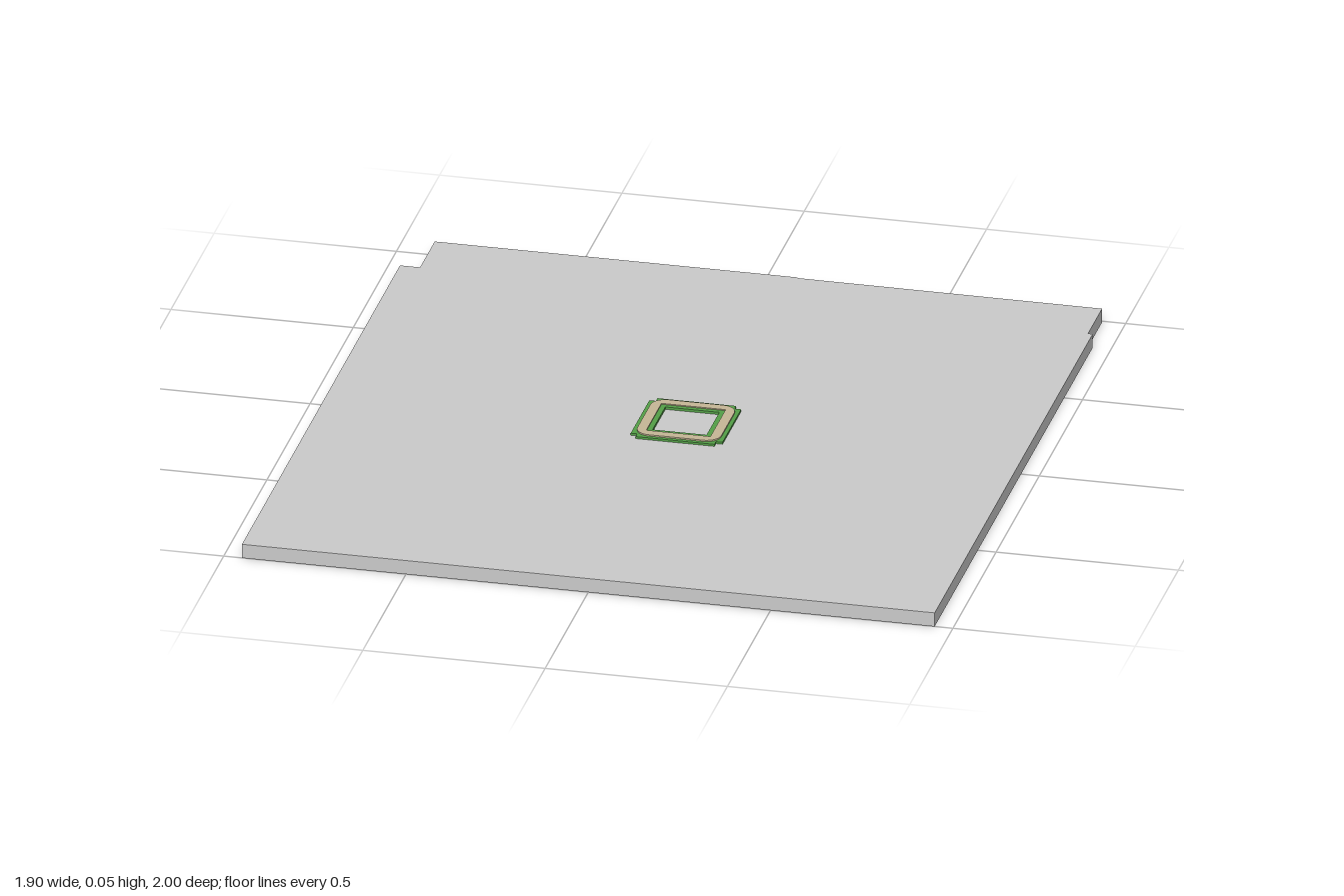
import * as THREE from 'three';

const CX = 0.025, CZ = -0.025; // centre of the small frame

// Extrude an x/z outline between two heights
function plate(name, shape, bottom, top, color) {
  const geo = new THREE.ExtrudeGeometry(shape, { depth: top - bottom, bevelEnabled: false, curveSegments: 6 });
  geo.rotateX(Math.PI / 2).translate(0, top, 0);
  const mesh = new THREE.Mesh(geo, new THREE.MeshStandardMaterial({ color, flatShading: true }));
  mesh.name = name;
  return mesh;
}

const outline = (points) => new THREE.Shape(points.map(([x, z]) => new THREE.Vector2(x, z)));

const square = (h) => outline([[CX - h, CZ - h], [CX + h, CZ - h], [CX + h, CZ + h], [CX - h, CZ + h]]);

// Square with a small step cut from every corner
function steppedSquare(h, step) {
  const s = h - step;
  return outline([[-s, -h], [s, -h], [s, -s], [h, -s], [h, s], [s, s],
    [s, h], [-s, h], [-s, s], [-h, s], [-h, -s], [-s, -s]].map(([x, z]) => [x + CX, z + CZ]));
}

function roundedSquare(h, r) {
  const s = new THREE.Shape();
  [[1, 1], [-1, 1], [-1, -1], [1, -1]].forEach(([sx, sz], i) => {
    s.absarc(CX + sx * (h - r), CZ + sz * (h - r), r, i * Math.PI / 2, (i + 1) * Math.PI / 2, false);
  });
  return s;
}

function withHole(shape, hole) {
  shape.holes.push(hole);
  return shape;
}

export function createModel() {
  const model = new THREE.Group();
  model.name = 'floorSlab';

  // Slab with notched back corners
  model.add(plate('slab', outline([
    [-0.95, 1], [0.95, 1], [0.95, -0.83], [0.937, -0.83], [0.937, -0.993],
    [0.1, -0.996], [0.1, -1], [-0.895, -1], [-0.895, -0.83], [-0.95, -0.83],
  ]), 0, 0.04, 0xcccccc));

  // Small square frame: stepped border, raised band and inner lip
  const frame = new THREE.Group();
  frame.name = 'frame';
  frame.add(
    plate('frameBorder', withHole(steppedSquare(0.126, 0.018), square(0.1)), 0.04, 0.046, 0x55a048),
    plate('frameBand', withHole(roundedSquare(0.115, 0.04), square(0.088)), 0.04, 0.05, 0xc8b898),
    plate('innerLip', withHole(square(0.088), square(0.074)), 0.04, 0.047, 0x55a048),
  );
  model.add(frame);
  return model;
}
